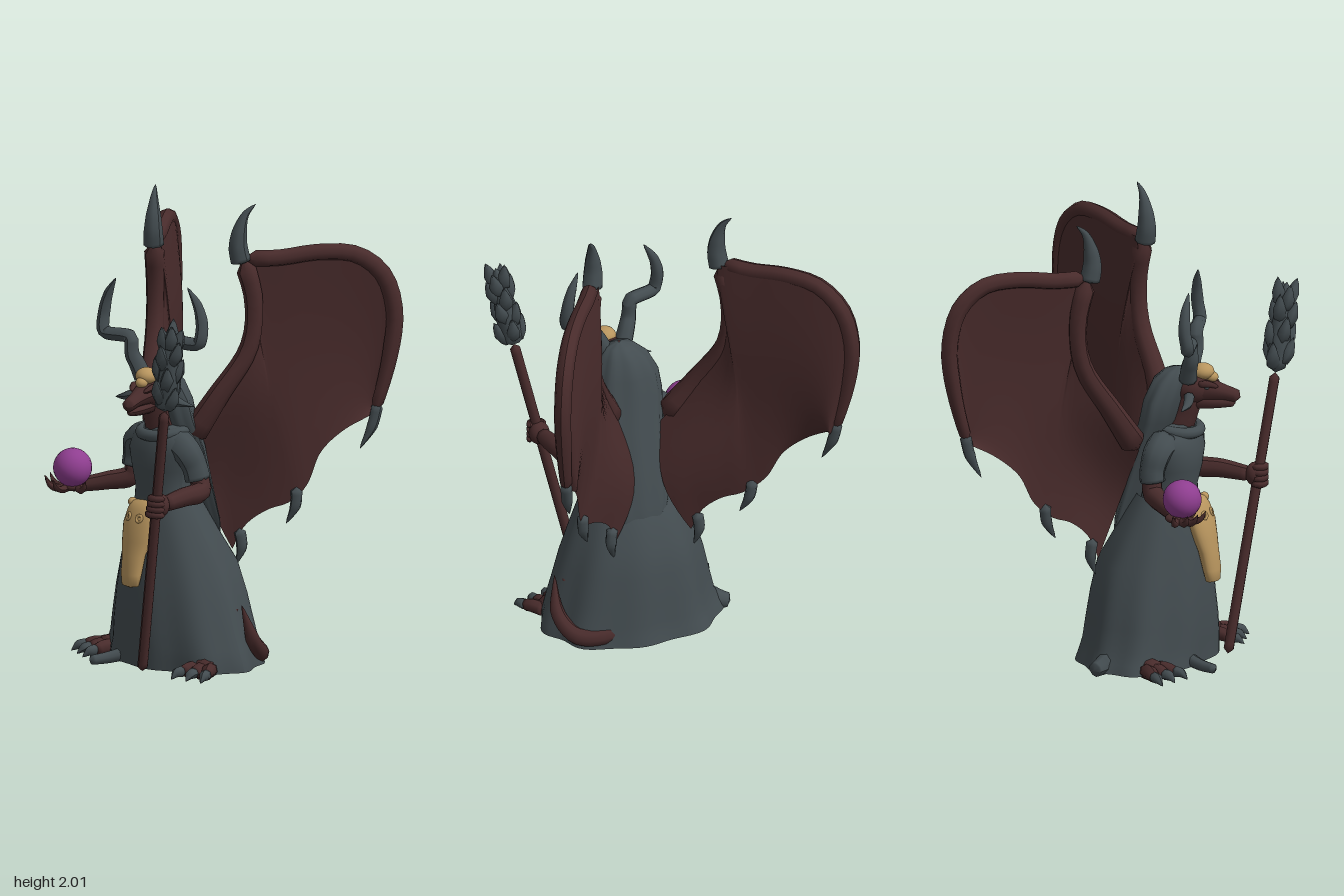
import * as THREE from 'three';

const mat = (name, color, side = THREE.FrontSide) => {
  const m = new THREE.MeshStandardMaterial({ color, side });
  m.name = name;
  return m;
};
const slate = mat('slate', 0x434c50, THREE.DoubleSide);
const hide = mat('maroon hide', 0x482b2b, THREE.DoubleSide);
const bone = mat('bone', 0xb8955e);
const orbColor = mat('violet orb', 0x8f3e90);

const V = (p) => new THREE.Vector3(...p);

function add(parent, name, geometry, material) {
  const mesh = new THREE.Mesh(geometry, material);
  mesh.name = name;
  parent.add(mesh);
  return mesh;
}

// Closed tube through points whose radius follows a list of radii
function limb(parent, name, pts, radii, material, sides = 9, seg = 16) {
  const curve = new THREE.CatmullRomCurve3(pts.map(V), false, 'centripetal');
  const g = new THREE.TubeGeometry(curve, seg, 1, sides);
  const pos = g.attributes.position, v = new THREE.Vector3();
  for (let i = 0; i <= seg; i++) {
    const c = curve.getPointAt(i / seg);
    const f = (i / seg) * (radii.length - 1), k = Math.min(Math.floor(f), radii.length - 2);
    const r = i === 0 || i === seg ? 0.0005 : THREE.MathUtils.lerp(radii[k], radii[k + 1], f - k);
    for (let j = 0; j <= sides; j++) {
      const n = i * (sides + 1) + j;
      v.fromBufferAttribute(pos, n).sub(c).multiplyScalar(r).add(c);
      pos.setXYZ(n, v.x, v.y, v.z);
    }
  }
  g.computeVertexNormals();
  return add(parent, name, g, material);
}

// Grid surface from a function of two parameters
function sheet(nu, nv, fn) {
  const p = [], idx = [];
  for (let i = 0; i <= nu; i++) for (let j = 0; j <= nv; j++) p.push(...fn(i / nu, j / nv));
  for (let i = 0; i < nu; i++) for (let j = 0; j < nv; j++) {
    const a = i * (nv + 1) + j, b = a + nv + 1;
    idx.push(a, a + 1, b, b, a + 1, b + 1);
  }
  const g = new THREE.BufferGeometry();
  g.setAttribute('position', new THREE.Float32BufferAttribute(p, 3));
  g.setIndex(idx);
  g.computeVertexNormals();
  return g;
}

// Stacked ellipses, bottom to top: [y, cx, cz, rx, rz], with optional folds
function stack(rings, folds = () => 1, seg = 40) {
  const n = rings.length - 1;
  return sheet(n, seg, (u, v) => {
    const [y, cx, cz, rx, rz] = rings[Math.round(u * n)];
    const a = -v * Math.PI * 2, f = folds(a, u);
    return [cx + Math.cos(a) * rx * f, y, cz + Math.sin(a) * rz * f];
  });
}

function ball(parent, name, r, at, scale, material) {
  const m = add(parent, name, new THREE.SphereGeometry(r, 20, 14), material);
  m.position.set(...at);
  m.scale.set(...scale);
  return m;
}

// Wing drawn in [spread, height] and mapped to its slanted plane
function wing(name, map) {
  const g = new THREE.Group();
  g.name = name;
  const arm = [[0.15, 0.97], [0.07, 1.17], [-0.04, 1.38], [-0.058, 1.58], [-0.02, 1.77]];
  const outer = [[-0.02, 1.765], [-0.15, 1.765], [-0.29, 1.785], [-0.43, 1.77], [-0.525, 1.68], [-0.565, 1.52], [-0.55, 1.34], [-0.515, 1.17], [-0.49, 1.08]];
  const low = [[-0.04, 0.49], [-0.08, 0.6], [-0.14, 0.67], [-0.19, 0.7], [-0.25, 0.78], [-0.3, 0.92], [-0.38, 1.01], [-0.49, 1.08]];
  const path = (pts) => new THREE.CatmullRomCurve3(pts.map((p) => V([p[0], p[1], 0])), false, 'centripetal');
  const top = path([...arm, ...outer.slice(1)]), bottom = path(low);
  // Front and back skins, thick at the bones and meeting at the scalloped edge
  [['frontMembrane', 0.012, -0.03], ['backMembrane', -0.034, -0.045]].forEach(([part, edge, bulge]) =>
    add(g, part, sheet(40, 10, (u, v) => {
      const p = top.getPointAt(u).lerp(bottom.getPointAt(u), v);
      return map(p.x, p.y, edge * (1 - v) * (1 - u * u * u) + bulge * Math.sin(Math.PI * v));
    }), hide));
  const at = (pts) => pts.map((p) => map(p[0], p[1], 0));
  limb(g, 'wingArm', at(arm), [0.06, 0.045, 0.038, 0.045], hide);
  limb(g, 'outerFinger', at(outer), [0.036, 0.036, 0.038, 0.036, 0.024], hide, 8, 24);
  limb(g, 'wristClaw', at([[-0.015, 1.74], [-0.002, 1.82], [-0.01, 1.9], [-0.03, 1.96], [-0.065, 2.0]]), [0.045, 0.042, 0.033, 0.018, 0.003], slate, 9, 20);
  [[-0.505, 1.13, -0.44, 0.93], [-0.215, 0.77, -0.185, 0.61], [-0.06, 0.58, -0.05, 0.42]].forEach(([a, b, c, d]) =>
    limb(g, 'fingerClaw', at([[a, b], [(a + c) / 2 - 0.012, (b + d) / 2], [c, d]]), [0.026, 0.024, 0.003], slate, 7, 10));
  return g;
}

// Draws the low inner part of a wing in towards the back
const curl = (s, y, reach) =>
  THREE.MathUtils.smoothstep(1.25 - y, 0, 0.6) * (1 - THREE.MathUtils.smoothstep(-s, 0, reach));

export function createModel() {
  const root = new THREE.Group();
  root.name = 'hornedSorceress';

  // Robe
  const skirt = stack([
    [0.02, 0.11, 0.115, 0.4, 0.275], [0.06, 0.115, 0.12, 0.39, 0.27], [0.11, 0.12, 0.125, 0.37, 0.266], [0.2, 0.115, 0.13, 0.345, 0.262],
    [0.32, 0.11, 0.135, 0.315, 0.25], [0.45, 0.105, 0.142, 0.27, 0.232], [0.58, 0.1, 0.17, 0.215, 0.185],
    [0.68, 0.1, 0.19, 0.17, 0.15], [0.74, 0.1, 0.2, 0.14, 0.125]],
  (a, u) => 1 + 0.03 * (1 - u) * Math.cos(9 * a + 0.6) + 0.02 * (1 - u) * Math.sin(5 * a), 72);
  add(root, 'skirt', skirt, slate);
  add(root, 'bodice', stack([
    [0.7, 0.1, 0.21, 0.14, 0.12], [0.78, 0.1, 0.22, 0.128, 0.11], [0.86, 0.105, 0.23, 0.14, 0.118],
    [0.94, 0.11, 0.235, 0.165, 0.118], [1.0, 0.12, 0.23, 0.165, 0.1], [1.05, 0.13, 0.23, 0.09, 0.075], [1.06, 0.13, 0.23, 0.01, 0.01]]), slate);
  const collar = add(root, 'collar', new THREE.TorusGeometry(0.098, 0.025, 10, 28), slate);
  collar.position.set(0.125, 1.025, 0.235);
  collar.rotation.x = Math.PI / 2 + 0.12;
  limb(root, 'frontHemTrail', [[0.0, 0.05, 0.34], [-0.03, 0.035, 0.42], [-0.05, 0.03, 0.5]], [0.03, 0.025, 0.02], slate);
  limb(root, 'sideHemTrail', [[-0.18, 0.08, 0.1], [-0.25, 0.05, 0.07], [-0.31, 0.035, 0.05]], [0.05, 0.045, 0.03], slate);

  // Long veil falling down the back
  add(root, 'veil', stack([
    [0.54, 0.11, 0.0, 0.1, 0.025], [0.62, 0.11, 0.025, 0.125, 0.04], [0.78, 0.11, 0.075, 0.13, 0.05],
    [0.95, 0.11, 0.13, 0.14, 0.065], [1.07, 0.1, 0.18, 0.145, 0.08], [1.16, 0.1, 0.2, 0.135, 0.085],
    [1.24, 0.105, 0.225, 0.1, 0.08], [1.28, 0.115, 0.24, 0.06, 0.05], [1.295, 0.12, 0.245, 0.005, 0.005]],
  (a) => 1 + 0.04 * Math.cos(8 * a)), slate);

  // Head, turned a little to its left
  limb(root, 'neck', [[0.12, 1.0, 0.23], [0.125, 1.1, 0.27], [0.13, 1.2, 0.29]], [0.07, 0.062, 0.065], hide);
  const head = new THREE.Group();
  head.name = 'head';
  head.position.set(0.13, 1.2, 0.3);
  head.rotation.y = 0.33;
  root.add(head);
  ball(head, 'cranium', 0.078, [0, 0.005, 0], [0.92, 0.95, 1.1], hide);
  limb(head, 'snout', [[0, 0.005, 0.0], [0, -0.005, 0.09], [0, -0.02, 0.16], [0, -0.035, 0.21]], [0.065, 0.05, 0.033, 0.026], hide);
  limb(head, 'jaw', [[0, -0.05, 0], [0, -0.06, 0.1], [0, -0.06, 0.19]], [0.042, 0.028, 0.016], hide);
  ball(head, 'foreheadSkull', 0.045, [0, 0.075, 0.05], [1.05, 0.8, 1.1], bone);
  ball(head, 'foreheadSkullNose', 0.026, [0, 0.052, 0.088], [1, 0.9, 1.1], bone);
  for (const s of [-1, 1]) {
    ball(head, 'eye', 0.01, [s * 0.047, 0.015, 0.072], [0.7, 0.7, 1], slate);
    limb(head, 'brow', [[s * 0.05, 0.03, 0.03], [s * 0.048, 0.032, 0.08], [s * 0.028, 0.015, 0.12]], [0.014, 0.015, 0.008], hide, 6, 8);
    limb(head, 'ear', [[s * 0.06, -0.01, 0], [s * 0.13, -0.035, 0], [s * 0.2, -0.05, -0.02]], [0.024, 0.02, 0.002], slate, 7, 8);
    // Stepped horns with square elbows
    limb(head, 'horn', [[s * 0.05, 0.04, -0.01], [s * 0.08, 0.11, 0], [s * 0.098, 0.15, 0.01], [s * 0.102, 0.205, 0.01], [s * 0.104, 0.222, 0.01], [s * 0.12, 0.228, 0.01],
      [s * 0.215, 0.228, 0.01], [s * 0.237, 0.232, 0.01], [s * 0.245, 0.25, 0.01], [s * 0.246, 0.31, 0.0], [s * 0.226, 0.39, 0], [s * 0.18, 0.47, 0.01]],
    [0.04, 0.036, 0.031, 0.03, 0.029, 0.028, 0.026, 0.019, 0.003], slate, 9, 44);
  }

  // Arms
  limb(root, 'rightSleeve', [[0.02, 0.98, 0.23], [-0.06, 0.95, 0.23], [-0.085, 0.88, 0.22], [-0.09, 0.82, 0.225]], [0.07, 0.062, 0.055, 0.055], slate);
  limb(root, 'rightForearm', [[-0.085, 0.86, 0.22], [-0.1, 0.79, 0.23], [-0.17, 0.765, 0.31], [-0.245, 0.745, 0.41]], [0.042, 0.045, 0.038, 0.03], hide);
  limb(root, 'leftSleeve', [[0.2, 0.98, 0.23], [0.275, 0.95, 0.23], [0.3, 0.89, 0.21], [0.315, 0.82, 0.2]], [0.07, 0.062, 0.055, 0.055], slate);
  limb(root, 'leftForearm', [[0.31, 0.86, 0.2], [0.345, 0.795, 0.21], [0.375, 0.785, 0.33], [0.39, 0.77, 0.46]], [0.042, 0.045, 0.04, 0.032], hide);

  // Open hand with the orb
  ball(root, 'rightPalm', 0.055, [-0.255, 0.742, 0.42], [1, 0.4, 1], hide);
  for (const a of [-1.3, -0.8, -0.4, 0.1, 1.3]) {
    const at = (r, y) => [-0.255 + Math.sin(a) * r, y, 0.42 + Math.cos(a) * r];
    limb(root, 'finger', [at(0.03, 0.742), at(0.075, 0.735), at(0.105, 0.75), at(0.125, 0.785)], [0.018, 0.016, 0.012, 0.002], hide, 6, 10);
  }
  ball(root, 'orb', 0.083, [-0.245, 0.825, 0.435], [1, 1, 1], orbColor);

  // Staff with a leafy head
  const foot = V([0.22, 0.02, 0.43]), neck = V([0.49, 1.2, 0.525]);
  limb(root, 'staffShaft', [foot.toArray(), foot.clone().lerp(neck, 0.5).toArray(), neck.toArray()], [0.022, 0.022], hide, 10, 60);
  const crown = new THREE.Group();
  crown.name = 'staffHead';
  crown.position.copy(neck);
  crown.quaternion.setFromUnitVectors(V([0, 1, 0]), V([0.08, 0.4, 0.02]).normalize());
  root.add(crown);
  limb(crown, 'crownCore', [[0, 0, 0], [0, 0.15, 0], [0, 0.39, 0]], [0.04, 0.05, 0.04, 0.012], slate);
  [[0.01, 0.064], [0.1, 0.06], [0.19, 0.056], [0.26, 0.045]].forEach(([h, r], tier) => {
    for (let k = 0; k < 4; k++) {
      const a = k * Math.PI * 0.5 + tier * 0.78;
      const at = (q, y) => [Math.cos(a) * q, y, Math.sin(a) * q];
      const lift = (k % 2) * 0.025;
      limb(crown, 'crownLeaf', [at(0.015, h + lift), at(r * 0.7, h + 0.06 + lift), at(r, h + 0.125 + lift)], [0.026, 0.03, 0.006], slate, 5, 6);
    }
  });
  for (let k = 0; k < 4; k++)
    limb(root, 'gripFinger', [[0.37, 0.735 + k * 0.024, 0.47], [0.365 + k * 0.006, 0.735 + k * 0.024, 0.515], [0.425, 0.735 + k * 0.024, 0.51], [0.432, 0.735 + k * 0.024, 0.475]], [0.015, 0.016, 0.012], hide, 6, 10);
  ball(root, 'leftFist', 0.045, [0.395, 0.772, 0.475], [1, 1.15, 0.9], hide);
  ball(root, 'staffCharm', 0.022, [0.318, 0.44, 0.464], [0.8, 1.3, 0.9], bone);

  // Skull hanging at the waist
  const skull = new THREE.Group();
  skull.name = 'waistSkull';
  root.add(skull);
  add(skull, 'skullBody', stack([
    [0.362, 0.115, 0.41, 0.005, 0.005], [0.372, 0.115, 0.41, 0.048, 0.026], [0.42, 0.115, 0.405, 0.056, 0.034],
    [0.5, 0.113, 0.39, 0.063, 0.038], [0.56, 0.112, 0.375, 0.08, 0.043], [0.63, 0.112, 0.358, 0.092, 0.047],
    [0.69, 0.112, 0.338, 0.088, 0.042], [0.72, 0.112, 0.325, 0.075, 0.032], [0.73, 0.112, 0.32, 0.005, 0.005]], () => 1, 24), bone);
  for (const s of [-1, 1]) {
    const socket = add(skull, 'eyeSocketRim', new THREE.TorusGeometry(0.014, 0.007, 6, 14), bone);
    socket.position.set(0.112 + s * 0.035, 0.66, 0.388);
    socket.rotation.set(-0.3, s * 0.3, 0);
    ball(skull, 'skullCheek', 0.02, [0.112 + s * 0.075, 0.71, 0.335], [1, 1, 1], bone);
  }

  // Clawed feet and legs
  [[-0.2, 0.26, -0.35], [0.43, 0.25, 0.3]].forEach(([x, z, yaw]) => {
    const f = new THREE.Group();
    f.name = 'foot';
    f.position.set(x, 0, z);
    f.rotation.y = yaw;
    root.add(f);
    limb(f, 'ankle', [[0, 0.3, -0.16], [0, 0.13, -0.13], [0, 0.05, -0.03], [0, 0.038, 0.06]], [0.055, 0.045, 0.05, 0.046], hide);
    for (const s of [-1, 0, 1]) {
      limb(f, 'toe', [[s * 0.024, 0.04, 0], [s * 0.05, 0.044, 0.06], [s * 0.064, 0.032, 0.1]], [0.032, 0.031, 0.025], hide, 7, 8);
      limb(f, 'toeClaw', [[s * 0.06, 0.037, 0.085], [s * 0.069, 0.036, 0.12], [s * 0.074, 0.012, 0.155]], [0.025, 0.021, 0.002], slate, 7, 8);
    }
  });

  // Tail
  limb(root, 'tail', [[0.15, 0.12, 0.0], [0.3, 0.07, -0.08], [0.42, 0.07, -0.05], [0.475, 0.14, 0.03], [0.47, 0.3, 0.09]], [0.05, 0.045, 0.04, 0.03, 0.003], hide, 9, 24);

  // Wings
  root.add(wing('leftWing', (s, y, d) => [0.33 - 0.62 * s + 0.84 * d - 0.12 * curl(s, y, 0.25), y, s * 1.01 + 0.54 * d]));
  root.add(wing('rightWing', (s, y, d) => [-0.23 + 0.78 * s - 0.72 * d + 0.16 * curl(s, y, 0.42), y - 0.02, 0.01 + 0.82 * s + 0.69 * d]));
  return root;
}
